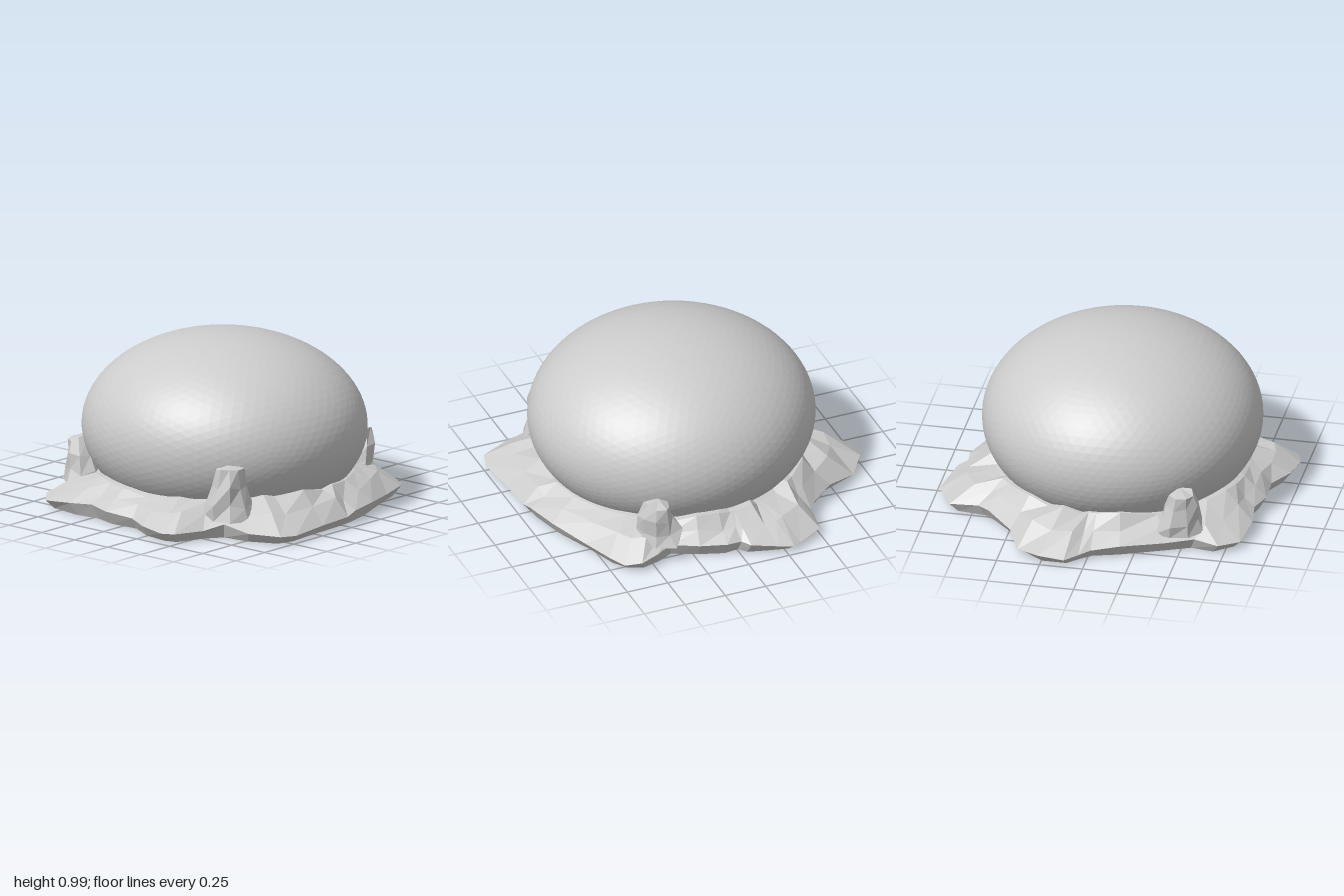
import * as THREE from 'three';

// Axis of the dome on the ground plane
const CX = 0.05, CZ = 0.015;

// Ragged rim of the skirt as x, z pairs, counterclockwise seen from above
const RIM = [
  1, 0.48, 0.98, 0.22, 0.97, 0, 0.96, -0.08, 0.91, -0.28, 0.81, -0.52, 0.74, -0.72, 0.68, -0.8,
  0.59, -0.84, 0.48, -0.81, 0.38, -0.76, 0.23, -0.83, 0.08, -0.88, -0.01, -0.87, -0.05, -0.92,
  -0.2, -0.96, -0.29, -0.98, -0.34, -0.95, -0.49, -0.88, -0.51, -0.71, -0.56, -0.64, -0.72, -0.48,
  -0.9, -0.4, -1, -0.26, -1, -0.11, -0.93, -0.04, -0.88, 0.02, -0.83, 0.18, -0.73, 0.42,
  -0.66, 0.58, -0.68, 0.72, -0.59, 0.83, -0.38, 0.86, -0.23, 0.84, -0.09, 0.88, 0.1, 0.87,
  0.25, 0.95, 0.41, 0.975, 0.49, 0.95, 0.56, 0.78, 0.63, 0.68, 0.8, 0.66, 0.97, 0.58,
];

function seeded(seed) {
  return () => {
    seed = (seed * 16807) % 2147483647;
    return seed / 2147483647 - 0.5;
  };
}

// Squashed sphere: tall above its widest level, flatter below
function domeGeometry() {
  const geo = new THREE.IcosahedronGeometry(1, 14);
  const p = geo.attributes.position;
  for (let i = 0; i < p.count; i++) {
    const y = p.getY(i);
    p.setXYZ(i, CX + p.getX(i) * 0.825,
      Math.max(0.03, 0.45 + y * (y > 0 ? 0.545 : 0.54)),
      CZ + p.getZ(i) * 0.8);
  }
  geo.computeVertexNormals();
  return geo;
}

// Rings from the flat base, over the thin rim, up to the collar under the dome
function skirtGeometry() {
  const rand = seeded(71);
  const n = RIM.length / 2, pos = [], index = [];
  const rings = 5;
  for (let k = 0; k < rings; k++) {
    for (let i = 0; i < n; i++) {
      const dx = RIM[2 * i] - CX, dz = RIM[2 * i + 1] - CZ;
      const r = Math.hypot(dx, dz);
      const tip = THREE.MathUtils.clamp((r - 0.84) / 0.18, 0, 1);
      const wobble = rand();
      const [radius, y] = [
        [r * 0.95, 0],
        [r, 0.085 - 0.04 * tip + wobble * 0.03],
        [0.74 + (r - 0.74) * 0.5, 0.14 + wobble * 0.035],
        [0.745 + wobble * 0.03, 0.195 + wobble * 0.05],
        [0.6, 0.22],
      ][k];
      pos.push(CX + dx / r * radius, y, CZ + dz / r * radius);
    }
  }
  for (let k = 0; k < rings - 1; k++) {
    for (let i = 0; i < n; i++) {
      const a = k * n + i, b = k * n + (i + 1) % n;
      index.push(a, b, b + n, a, b + n, a + n);
    }
  }
  // Flat underside
  pos.push(CX, 0, CZ);
  for (let i = 0; i < n; i++) index.push(rings * n, (i + 1) % n, i);
  const geo = new THREE.BufferGeometry();
  geo.setAttribute('position', new THREE.Float32BufferAttribute(pos, 3));
  geo.setIndex(index);
  geo.computeVertexNormals();
  return geo;
}

// Jagged tapering lump that clings to the side of the dome
function clumpGeometry(height, seed) {
  const rand = seeded(seed);
  const sides = 8, levels = 4, pos = [], index = [];
  for (let k = 0; k < levels; k++) {
    const t = k / (levels - 1);
    for (let i = 0; i < sides; i++) {
      const a = i / sides * Math.PI * 2;
      const r = (0.15 - 0.075 * t) * (1 + rand() * 0.35);
      pos.push(Math.cos(a) * r, 0.1 + (height - 0.1) * t - (k ? Math.abs(rand()) * 0.07 : 0),
        -Math.sin(a) * r * 0.8 + t * 0.03);
    }
  }
  for (let k = 0; k < levels - 1; k++) {
    for (let i = 0; i < sides; i++) {
      const a = k * sides + i, b = k * sides + (i + 1) % sides;
      index.push(a, b, b + sides, a, b + sides, a + sides);
    }
  }
  const top = (levels - 1) * sides;
  pos.push(0, height, 0);
  for (let i = 0; i < sides; i++) index.push(top + i, top + (i + 1) % sides, levels * sides);
  const geo = new THREE.BufferGeometry();
  geo.setAttribute('position', new THREE.Float32BufferAttribute(pos, 3));
  geo.setIndex(index);
  geo.computeVertexNormals();
  return geo;
}

export function createModel() {
  const grey = new THREE.MeshStandardMaterial({ color: 0xcccccc, flatShading: true });
  grey.name = 'light grey';

  const model = new THREE.Group();
  model.name = 'domeOnSkirt';
  const add = (name, geo) => {
    const mesh = new THREE.Mesh(geo, grey);
    mesh.name = name;
    model.add(mesh);
    return mesh;
  };

  add('dome', domeGeometry());
  add('skirt', skirtGeometry());

  // Three clumps spaced around the dome: x, z, height
  const clumps = [
    ['frontLeftClump', 0.59, 0.59, 0.42],
    ['frontRightClump', -0.6, 0.48, 0.37],
    ['backClump', 0.43, -0.69, 0.37],
  ];
  clumps.forEach(([name, x, z, height], i) => {
    const clump = add(name, clumpGeometry(height, 101 + i * 37));
    clump.position.set(x, 0, z);
    clump.rotation.y = Math.atan2(x - CX, z - CZ);
  });
  return model;
}
